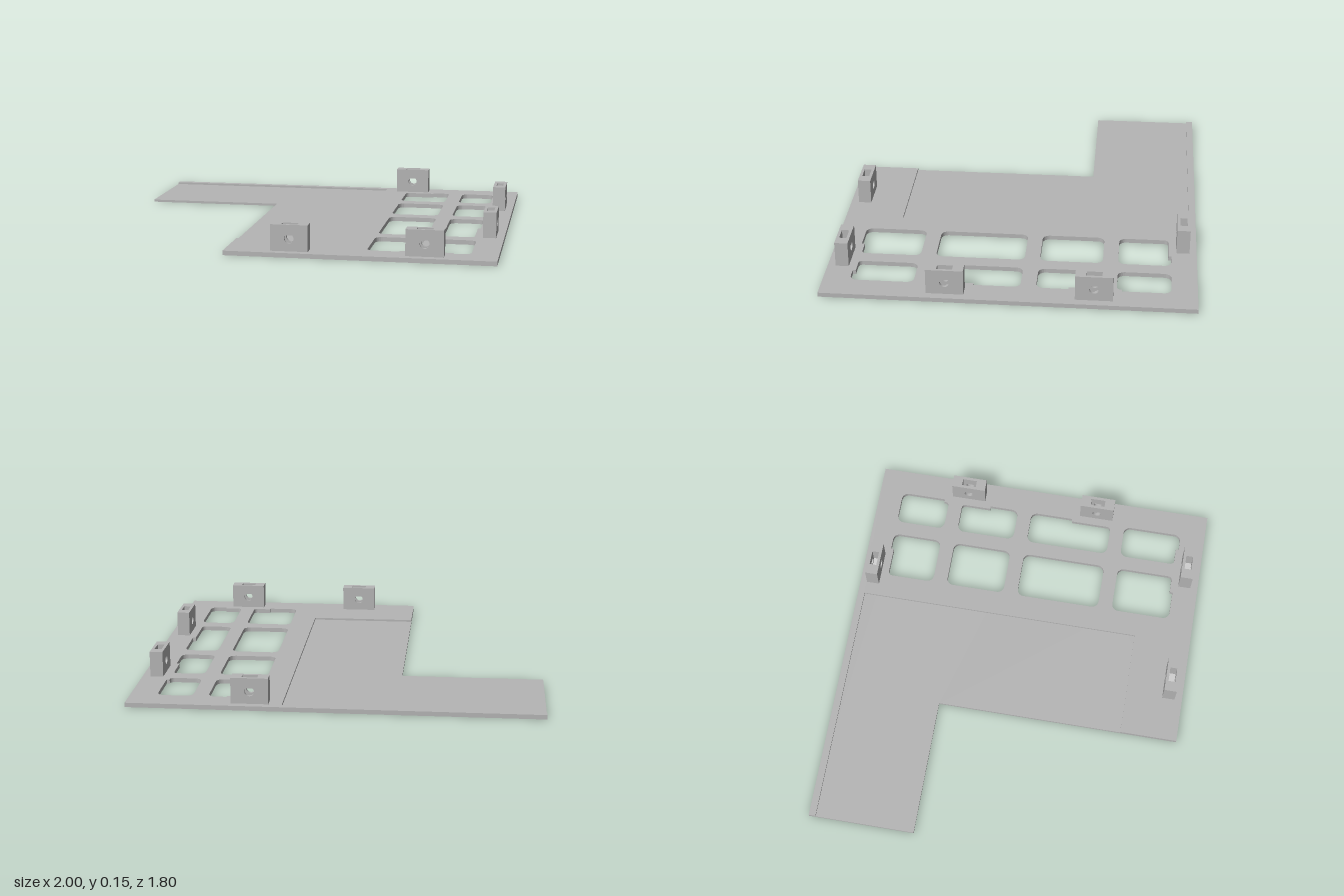
import * as THREE from 'three';

const BASE = 0.012, TOP = 0.022;   // floor of the recess and top of the plate
const R = 0.035;                   // window corner radius

// Closed path through [x, y, radius] corners
function roundedPath(corners, path = new THREE.Path()) {
  const n = corners.length;
  corners.forEach(([x, y, r = 0], i) => {
    const toward = (c, d) => {
      const dx = c[0] - x, dy = c[1] - y, l = Math.hypot(dx, dy);
      return [x + dx / l * d, y + dy / l * d];
    };
    const prev = corners[(i + n - 1) % n], next = corners[(i + 1) % n];
    const start = toward(prev, r);
    if (i === 0) path.moveTo(...start); else path.lineTo(...start);
    if (r) path.bezierCurveTo(...toward(prev, r * 0.45), ...toward(next, r * 0.45), ...toward(next, r));
  });
  path.closePath();
  return path;
}

// Windows in plan (x, z); some are stepped to leave room for a lug
const c1 = [0.375, 0.62], c2 = [0.695, 0.87];
const rect = ([a, b], t, u) => [[a, t, R], [b, t, R], [b, u, R], [a, u, R]];
const windows = [
  [[0.53, -0.775], [0.62, -0.775, R], [0.62, -0.515, R], [0.375, -0.515, R], [0.375, -0.76, 0.02], [0.53, -0.76]],
  rect(c1, -0.44, -0.13),
  rect(c1, -0.055, 0.385),
  [[0.375, 0.46, R], [0.62, 0.46, R], [0.62, 0.755, 0.02], [0.53, 0.755], [0.53, 0.77], [0.375, 0.77, R]],
  [[0.695, -0.775, R], [0.87, -0.775, R], [0.87, -0.54], [0.855, -0.54], [0.855, -0.515, 0.02], [0.695, -0.515, R]],
  [[0.695, -0.44, R], [0.855, -0.44, 0.02], [0.855, -0.285], [0.87, -0.285], [0.87, -0.13, R], [0.695, -0.13, R]],
  [[0.695, -0.055, R], [0.87, -0.055, R], [0.87, 0.17], [0.855, 0.17], [0.855, 0.385, 0.02], [0.695, 0.385, R]],
  [[0.695, 0.46, R], [0.87, 0.46, R], [0.87, 0.77, R], [0.785, 0.77], [0.785, 0.755], [0.695, 0.755, 0.02]],
];

// Horizontal layer between two heights, pierced by the windows
function layer(name, outline, y0, y1, material) {
  const shape = roundedPath(outline, new THREE.Shape());
  shape.holes = windows.map((w) => roundedPath(w));
  const geo = new THREE.ExtrudeGeometry(shape, { depth: y1 - y0, bevelEnabled: false, curveSegments: 6 });
  geo.rotateX(Math.PI / 2).translate(0, y1, 0);
  const mesh = new THREE.Mesh(geo, material);
  mesh.name = name;
  return mesh;
}

// Screw lug: two cheeks with a teardrop hole around a core with a nut slot
function makeLug(material) {
  const w = 0.09, h = 0.15, half = 0.0325, slot = 0.018, cy = 0.083, r = 0.023;
  const cheek = roundedPath([[-w, TOP], [w, TOP], [w, h], [-w, h]], new THREE.Shape());
  const hole = new THREE.Path();
  hole.moveTo(0, cy + r * 1.414);
  hole.absarc(0, cy, r, Math.PI * 0.75, Math.PI * 2.25, false);
  hole.closePath();
  cheek.holes.push(hole);
  const f = 0.0375;
  const core = roundedPath([[-w, TOP], [w, TOP], [w, h], [f, h], [f, cy - f * 0.577],
    [0, cy - f * 1.155], [-f, cy - f * 0.577], [-f, h], [-w, h]], new THREE.Shape());
  const lug = new THREE.Group();
  const slabs = [['frontCheek', cheek, slot, half], ['nutSlotCore', core, -slot, slot], ['backCheek', cheek, -half, -slot]];
  for (const [name, shape, z0, z1] of slabs) {
    const geo = new THREE.ExtrudeGeometry(shape, { depth: z1 - z0, bevelEnabled: false, curveSegments: 20 });
    const mesh = new THREE.Mesh(geo.translate(0, 0, z0), material);
    mesh.name = name;
    lug.add(mesh);
  }
  return lug;
}

export function createModel() {
  const model = new THREE.Group();
  model.name = 'mountingPlate';
  const grey = new THREE.MeshStandardMaterial({ color: 0xb5b5b5 });
  grey.name = 'plain grey';

  // L-shaped floor and the raised border that leaves a shallow recess
  model.add(layer('basePlate', [[-1, -0.9], [1, -0.9], [1, 0.9], [-0.295, 0.9], [-0.295, -0.355], [-1, -0.355]], 0, BASE, grey));
  model.add(layer('raisedBorder', [[-1, -0.9], [1, -0.9], [1, 0.9], [-0.295, 0.9], [-0.295, 0.605],
    [0.25, 0.605], [0.25, -0.865], [-1, -0.865]], BASE, TOP, grey));

  // Lugs: x, z, turned along the side edge or not
  const lugs = [
    ['frontRightLug', 0.018, 0.828, false], ['frontLeftLug', 0.66, 0.828, false],
    ['backLug', 0.405, -0.832, false], ['sideBackLug', 0.928, -0.41, true], ['sideFrontLug', 0.928, 0.298, true],
  ];
  for (const [name, x, z, turned] of lugs) {
    const lug = makeLug(grey);
    lug.name = name;
    lug.position.set(x, 0, z);
    if (turned) lug.rotation.y = Math.PI / 2;
    model.add(lug);
  }
  return model;
}
